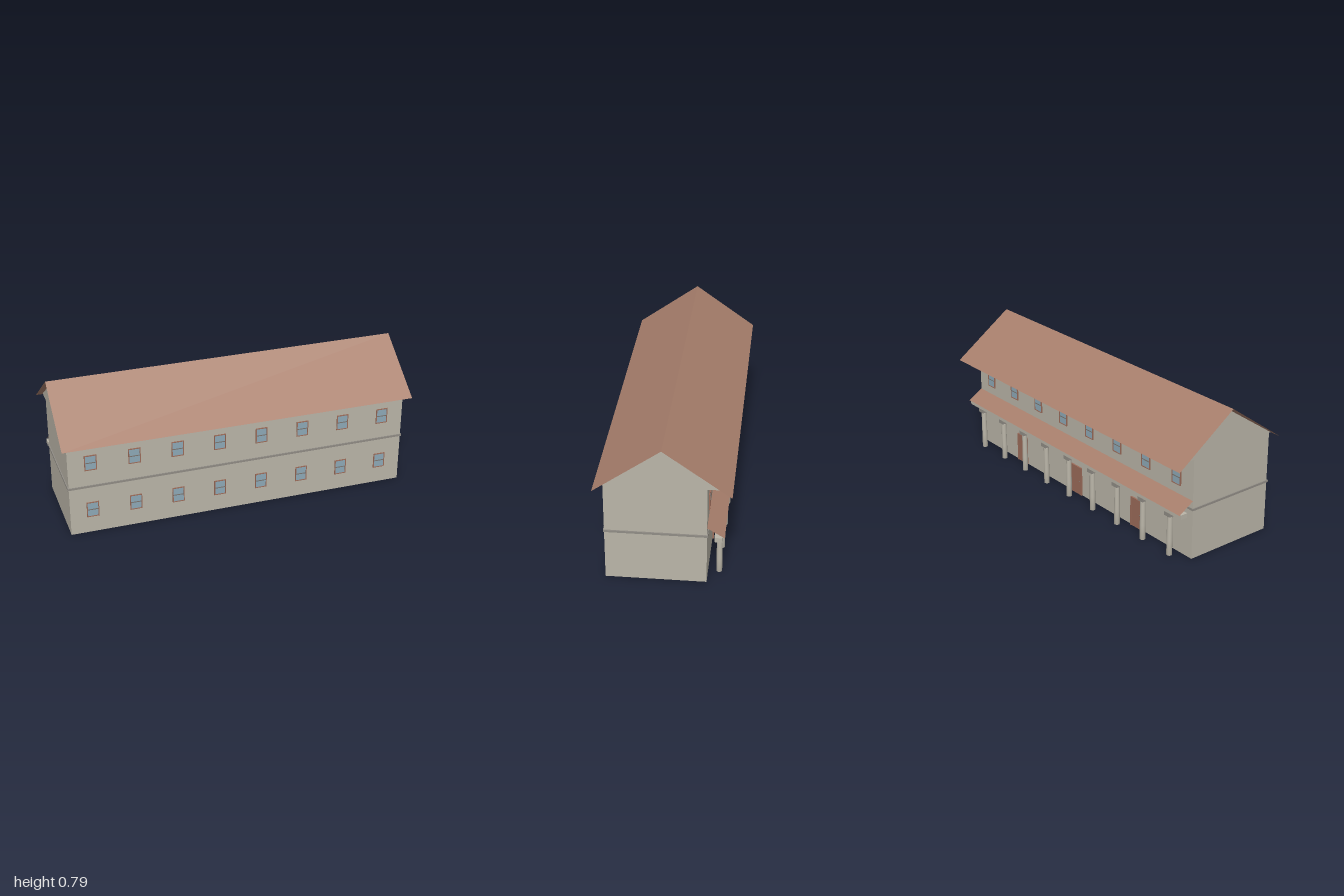
import * as THREE from 'three';

const mat = (name, color, side = THREE.FrontSide) => {
  const m = new THREE.MeshStandardMaterial({ color, side });
  m.name = name;
  return m;
};

export function createModel() {
  const model = new THREE.Group();
  model.name = 'longHouse';

  const stone = mat('stone', 0xbab5a8);
  const gableStone = mat('gableStone', 0xbab5a8, THREE.DoubleSide);
  const trim = mat('trim', 0x918d86);
  const tile = mat('roofTile', 0xa87f6c, THREE.DoubleSide);
  const wood = mat('wood', 0x9c6c5a);
  const glass = mat('glass', 0x8eaab8);
  const metal = mat('metal', 0x77706a);

  const add = (parent, name, geometry, material, x = 0, y = 0, z = 0) => {
    const mesh = new THREE.Mesh(geometry, material);
    mesh.name = name;
    mesh.position.set(x, y, z);
    parent.add(mesh);
    return mesh;
  };
  const box = (parent, name, w, h, d, material, x, y, z) =>
    add(parent, name, new THREE.BoxGeometry(w, h, d), material, x, y, z);

  const HALF = 0.967, FRONT = 0.3, BACK = -0.226, EAVE = 0.565;
  const depth = FRONT - BACK, midZ = (FRONT + BACK) / 2;

  // Walls and the string course between the floors
  box(model, 'walls', HALF * 2, EAVE, depth, stone, 0, EAVE / 2, midZ);
  box(model, 'stringCourse', HALF * 2 + 0.012, 0.012, depth + 0.01, trim, 0, 0.286, midZ);

  // Gable triangles closing the open attic
  const triangle = new THREE.Shape([
    new THREE.Vector2(-0.313, EAVE),
    new THREE.Vector2(0.313, EAVE),
    new THREE.Vector2(0, 0.777),
  ]);
  for (const s of [1, -1]) {
    const gable = add(model, 'gable', new THREE.ShapeGeometry(triangle), gableStone, s * HALF);
    gable.rotation.y = s * Math.PI / 2;
  }

  // Thin sloping roof sheet from its upper edge to its lower edge
  const slope = (name, halfX, y0, z0, y1, z1) => {
    const g = new THREE.PlaneGeometry(halfX * 2, 1);
    const p = g.attributes.position;
    for (let i = 0; i < p.count; i++) {
      const upper = p.getY(i) > 0;
      const x = p.getX(i) * (z1 < z0 ? -1 : 1);
      p.setXYZ(i, x, upper ? y0 : y1, upper ? z0 : z1);
    }
    g.computeVertexNormals();
    add(model, name, g, tile);
  };
  slope('frontRoof', 1, 0.791, 0, 0.541, 0.352);
  slope('backRoof', 1, 0.791, 0, 0.541, -0.352);
  slope('porchRoof', HALF, 0.334, BACK, 0.279, -0.316);

  // Sash window facing +z, with its back on the wall
  const addWindow = (x, y, back) => {
    const w = new THREE.Group();
    w.name = 'window';
    const W = 0.068, H = 0.09, T = 0.005, D = 0.008;
    box(w, 'windowPane', W - T, H - T, 0.004, glass, 0, 0, 0.003);
    for (const s of [1, -1]) {
      box(w, 'windowJamb', T, H, D, wood, s * (W - T) / 2, 0, D / 2 - 0.001);
      box(w, 'windowRail', W - 2 * T, T, D, wood, 0, s * (H - T) / 2, D / 2 - 0.001);
    }
    box(w, 'windowBar', W - 2 * T, 0.004, D, metal, 0, 0, D / 2);
    w.position.set(x, y, back ? BACK : FRONT - 0.002);
    if (back) w.rotation.y = Math.PI;
    model.add(w);
  };
  for (let i = 0; i < 8; i++) {
    const x = (i - 3.5) * 0.2405;
    addWindow(x, 0.43, false);
    addWindow(x, 0.142, false);
    addWindow(x, 0.43, true);
  }

  // Back doors with knobs
  for (const x of [-0.53, 0, 0.53]) {
    const door = new THREE.Group();
    door.name = 'door';
    box(door, 'doorLeaf', 0.08, 0.164, 0.006, wood, 0, 0.082, -0.003);
    for (const s of [1, -1]) box(door, 'doorJamb', 0.007, 0.172, 0.009, wood, s * 0.0435, 0.086, -0.0045);
    box(door, 'doorLintel', 0.08, 0.008, 0.009, wood, 0, 0.168, -0.0045);
    add(door, 'doorKnob', new THREE.SphereGeometry(0.003, 10, 8), metal, -0.03, 0.085, -0.009);
    door.position.set(x, 0, BACK);
    model.add(door);
  }

  // Porch beam on nine round columns
  const PORCH_Z = -0.284;
  box(model, 'porchBeam', HALF * 2, 0.026, 0.042, stone, 0, 0.265, PORCH_Z);
  const profile = [[0, 0], [0.0155, 0], [0.0155, 0.085], [0.0145, 0.22], [0.012, 0.225], [0.012, 0.231]]
    .map(([r, y]) => new THREE.Vector2(r, y));
  const shaft = new THREE.LatheGeometry(profile, 20);
  for (let i = -4; i <= 4; i++) {
    add(model, 'column', shaft, stone, i * 0.215, 0, PORCH_Z);
    box(model, 'columnCapital', 0.042, 0.022, 0.042, trim, i * 0.215, 0.241, PORCH_Z);
  }

  return model;
}
